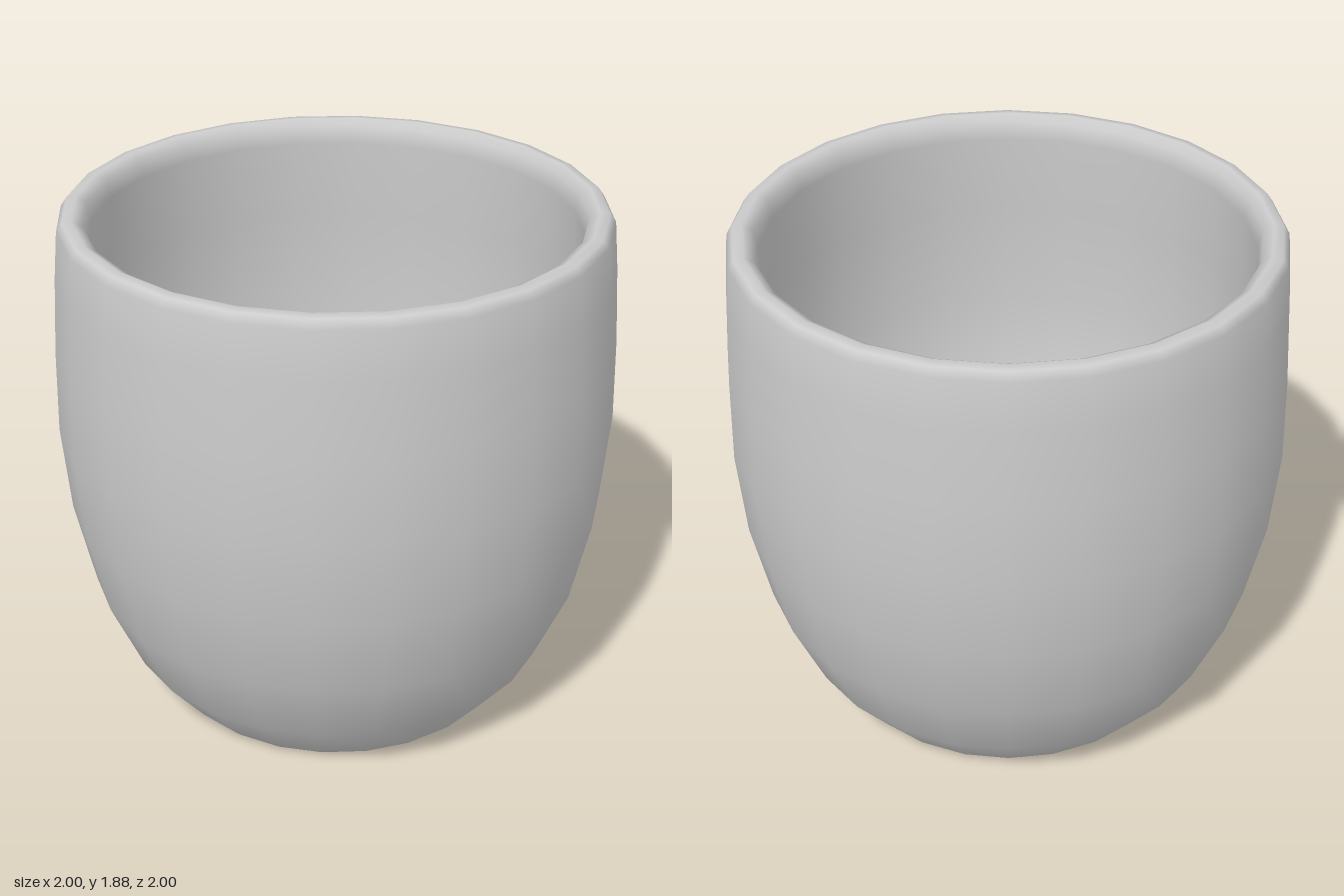
import * as THREE from 'three';

export function createModel() {
  const group = new THREE.Group();
  group.name = 'cup';
  const material = new THREE.MeshStandardMaterial({ color: 0xcccccc, roughness: 0.8 });

  // Closed wall profile as [radius, height]: base, outside, rim, inside, floor
  const profile = [
    [0, 0], [0.58, 0], [0.615, 0.006], [0.64, 0.03],
    [0.78, 0.2], [0.9, 0.47], [0.97, 0.78], [1, 1.1], [0.995, 1.4], [0.98, 1.68],
    [0.965, 1.85], [0.945, 1.88], [0.91, 1.885], [0.875, 1.865],
    [0.86, 1.8], [0.88, 1.5], [0.89, 1.1], [0.86, 0.8], [0.78, 0.48],
    [0.66, 0.22], [0.57, 0.13], [0.45, 0.11], [0, 0.11],
  ].map(([r, y]) => new THREE.Vector2(r, y));

  const body = new THREE.Mesh(new THREE.LatheGeometry(profile, 24), material);
  body.name = 'cupBody';
  group.add(body);
  return group;
}
